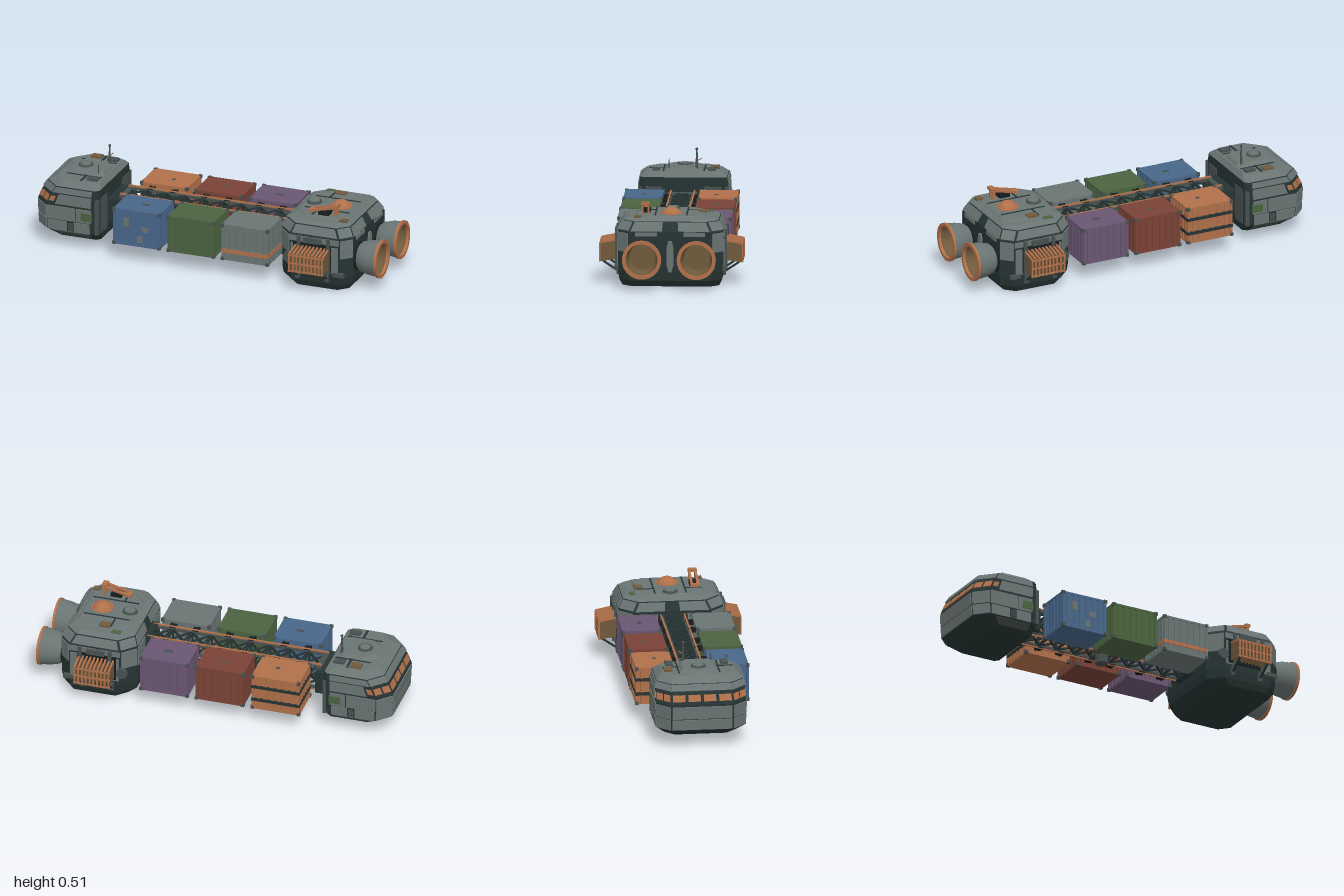
import * as THREE from 'three';

const mat = (name, color, side = THREE.FrontSide) => {
  const m = new THREE.MeshStandardMaterial({ color, side });
  m.name = name;
  return m;
};

export function createModel() {
  const root = new THREE.Group();
  root.name = 'cargoShip';
  const grey = mat('hullGrey', 0x6a7573), dark = mat('darkTeal', 0x263433), copper = mat('copper', 0xb0704a);
  const brown = mat('bronze', 0x6f5a3c, THREE.DoubleSide), steel = mat('steel', 0x485150), black = mat('charcoal', 0x171d1e);
  const blue = mat('blue', 0x48678a), green = mat('green', 0x4a6440), red = mat('red', 0x7a4236), purple = mat('purple', 0x6a5672);

  const group = (name, parent = root) => {
    const g = new THREE.Group();
    g.name = name;
    parent.add(g);
    return g;
  };
  const add = (parent, name, geo, m, x = 0, y = 0, z = 0) => {
    const mesh = new THREE.Mesh(geo, m);
    mesh.name = name;
    mesh.position.set(x, y, z);
    parent.add(mesh);
    return mesh;
  };
  const box = (p, name, m, w, h, d, x, y, z) => add(p, name, new THREE.BoxGeometry(w, h, d), m, x, y, z);
  const cyl = (p, name, m, r0, r1, h, x, y, z, n = 16) => add(p, name, new THREE.CylinderGeometry(r1, r0, h, n), m, x, y, z);
  // Square bar between two points
  const bar = (p, name, m, a, b, t) => {
    const va = new THREE.Vector3(...a), vb = new THREE.Vector3(...b);
    const mesh = box(p, name, m, t, t, va.distanceTo(vb), 0, 0, 0);
    mesh.position.copy(va).add(vb).multiplyScalar(0.5);
    mesh.lookAt(vb);
    return mesh;
  };
  const flat = (pts, index) => {
    const g = new THREE.BufferGeometry();
    g.setAttribute('position', new THREE.Float32BufferAttribute(pts.flatMap(p => p.toArray()), 3));
    g.setIndex(index);
    const out = g.toNonIndexed();
    out.computeVertexNormals();
    return out;
  };
  // Eight-sided section: y, x range, half depth, corner cuts at the -x and +x ends.
  // Sides: 0 = +x, 2 = -z, 4 = -x, 6 = +z, odd = cut corners
  const ring = ([y, x0, x1, h, c, d]) => [[x1, h - d], [x1, d - h], [x1 - d, -h], [x0 + c, -h], [x0, c - h], [x0, h - c], [x0 + c, h], [x1 - d, h]]
    .map(([x, z]) => new THREE.Vector3(x, y, z));
  const loft = (p, name, m, levels) => {
    const pts = levels.flatMap(ring), idx = [], top = (levels.length - 1) * 8;
    for (let i = 0; i < levels.length - 1; i++) for (let k = 0; k < 8; k++) {
      const a = i * 8 + k, b = i * 8 + (k + 1) % 8;
      idx.push(a, b, b + 8, a, b + 8, a + 8);
    }
    for (let k = 1; k < 7; k++) idx.push(0, k + 1, k, top, top + k, top + k + 1);
    return add(p, name, flat(pts, idx), m);
  };
  // Thin plate lying on one side of a loft, in fractions of that side
  const plate = (p, name, m, lo, hi, k, u0, u1, v0, v1, lift = 0.006) => {
    const A = ring(lo), B = ring(hi), j = (k + 1) % 8;
    const at = (u, v) => A[k].clone().lerp(A[j], u).lerp(B[k].clone().lerp(B[j], u), v);
    const base = [at(u0, v0), at(u1, v0), at(u1, v1), at(u0, v1)];
    const n = base[1].clone().sub(base[0]).cross(base[3].clone().sub(base[0])).normalize().multiplyScalar(lift);
    const idx = [4, 5, 6, 4, 6, 7];
    for (let i = 0; i < 4; i++) { const b = (i + 1) % 4; idx.push(i, b, b + 4, i, b + 4, i + 4); }
    return add(p, name, flat([...base, ...base.map(q => q.clone().add(n))], idx), m);
  };
  // Same plate on the +z and -z sides (u runs from -x to +x on both)
  const sides = (p, name, m, lo, hi, u0, u1, v0, v1, lift) => {
    plate(p, name, m, lo, hi, 6, u0, u1, v0, v1, lift);
    plate(p, name, m, lo, hi, 2, 1 - u1, 1 - u0, v0, v1, lift);
  };

  // ---- Crew cabin ----
  const cabin = group('cabin');
  const C = [[0.05, -0.9, -0.63, 0.19, 0.05, 0.02], [0.10, -0.985, -0.62, 0.24, 0.07, 0.02], [0.245, -0.994, -0.62, 0.244, 0.075, 0.02],
    [0.31, -0.965, -0.62, 0.242, 0.075, 0.02], [0.35, -0.94, -0.62, 0.235, 0.075, 0.02], [0.38, -0.89, -0.64, 0.2, 0.07, 0.04]];
  loft(cabin, 'cabinHull', dark, C.slice(0, 5));
  loft(cabin, 'cabinRoof', grey, C.slice(4));
  loft(cabin, 'roofSlab', grey, [[0.38, -0.88, -0.65, 0.1, 0.05, 0.03], [0.397, -0.86, -0.66, 0.085, 0.05, 0.03]]);
  for (const k of [3, 4, 5]) {
    plate(cabin, 'nosePlate', grey, C[1], C[2], k, 0.02, 0.98, 0.45, 0.93);
    plate(cabin, 'noseLowerPlate', grey, C[1], C[2], k, 0.02, 0.98, 0.02, 0.41);
    plate(cabin, 'browPlate', grey, C[3], C[4], k, 0, 1, 0.1, 0.9);
    const n = k === 4 ? 4 : 2;
    for (let i = 0; i < n; i++) plate(cabin, 'window', copper, C[2], C[3], k, (i + 0.1) / n, (i + 0.9) / n, 0.25, 0.78, 0.004);
  }
  sides(cabin, 'sideWindow', copper, C[2], C[3], 0.02, 0.13, 0.3, 0.75, 0.004);
  sides(cabin, 'upperSidePlate', grey, C[2], C[3], 0.18, 0.93, 0.08, 0.95);
  sides(cabin, 'roofEdgePlate', grey, C[3], C[4], 0.02, 0.93, 0.1, 0.85);
  sides(cabin, 'sidePlate', grey, C[1], C[2], 0, 0.6, 0.42, 0.95);
  sides(cabin, 'sidePlate', grey, C[1], C[2], 0.62, 0.93, 0.42, 0.95);
  sides(cabin, 'sideLowerPlate', grey, C[1], C[2], 0.02, 0.42, 0, 0.38);
  sides(cabin, 'sideLowerPlate', grey, C[1], C[2], 0.58, 0.9, 0, 0.38);
  sides(cabin, 'greenPatch', green, C[1], C[2], 0.72, 0.95, 0.5, 0.82, 0.008);
  for (let i = 0; i < 4; i++) sides(cabin, 'vent', steel, C[1], C[2], 0.45, 0.56, i * 0.09, i * 0.09 + 0.05);
  sides(cabin, 'bellyPlate', steel, C[0], C[1], 0.1, 0.9, 0.3, 0.9, 0.004);
  for (const s of [1, -1]) {
    box(cabin, 'rearRib', steel, 0.02, 0.2, 0.02, -0.627, 0.2, s * 0.236);
    box(cabin, 'rearPanel', steel, 0.01, 0.2, 0.09, -0.62, 0.2, s * 0.16);
    box(cabin, 'roofSeam', dark, 0.012, 0.004, 0.09, -0.74, 0.381, s * 0.147);
    box(cabin, 'roofSeam', dark, 0.2, 0.004, 0.008, -0.75, 0.381, s * 0.11);
    box(cabin, 'roofBlock', steel, 0.06, 0.012, 0.04, -0.685, 0.385, s * 0.15);
  }
  box(cabin, 'roofHatch', brown, 0.06, 0.012, 0.045, -0.785, 0.384, -0.165);
  cyl(cabin, 'hatchRing', steel, 0.042, 0.038, 0.008, -0.785, 0.4, 0, 20);
  cyl(cabin, 'hatchLid', grey, 0.028, 0.028, 0.01, -0.785, 0.402, 0, 20);
  cyl(cabin, 'mast', steel, 0.008, 0.004, 0.11, -0.675, 0.445, -0.07, 8);
  add(cabin, 'mastTip', new THREE.SphereGeometry(0.008, 10, 8), steel, -0.675, 0.498, -0.07);
  bar(cabin, 'mastArm', copper, [-0.675, 0.435, -0.075], [-0.665, 0.448, -0.098], 0.004);
  cyl(cabin, 'whipAerial', steel, 0.004, 0.002, 0.06, -0.68, 0.412, 0.08, 6);

  // ---- Truss spine ----
  const truss = group('truss');
  box(truss, 'cabinDock', dark, 0.09, 0.13, 0.23, -0.58, 0.2, 0);
  box(truss, 'cabinDockCollar', steel, 0.03, 0.15, 0.16, -0.545, 0.205, 0);
  box(truss, 'engineDock', dark, 0.05, 0.17, 0.16, 0.43, 0.205, 0);
  const yb = 0.135, yt = 0.275, zt = 0.058, bays = 9, x0 = -0.56, dx = 0.99 / bays;
  for (const s of [1, -1]) {
    for (const y of [yb, yt]) box(truss, 'longeron', steel, 0.99, 0.014, 0.014, -0.065, y, s * zt);
    box(truss, 'upperPipe', copper, 0.99, 0.009, 0.009, -0.065, yt + 0.011, s * (zt + 0.006));
    box(truss, 'lowerPipe', copper, 0.99, 0.008, 0.008, -0.065, yb - 0.01, s * (zt + 0.006));
  }
  for (let i = 0; i < bays; i++) {
    const a = x0 + i * dx, b = a + dx;
    for (const s of [1, -1]) {
      bar(truss, 'sideBrace', dark, [a, yb, s * zt], [b, yt, s * zt], 0.009);
      bar(truss, 'sideBrace', dark, [a, yt, s * zt], [b, yb, s * zt], 0.009);
      box(truss, 'post', dark, 0.01, yt - yb, 0.01, b, (yb + yt) / 2, s * zt);
    }
    for (const y of [yb, yt]) {
      bar(truss, 'crossBrace', dark, [a, y, -zt], [b, y, zt], 0.009);
      bar(truss, 'crossBrace', dark, [a, y, zt], [b, y, -zt], 0.009);
      box(truss, 'crossTie', dark, 0.01, 0.01, zt * 2, b, y, 0);
    }
  }
  cyl(truss, 'bellyTank', steel, 0.035, 0.042, 0.12, -0.09, 0.145, 0);

  // ---- Cargo containers ----
  const container = (name, m, x, s) => {
    const g = group(name);
    g.position.set(x, 0.2, s * 0.202);
    box(g, 'body', m, 0.258, 0.19, 0.198, 0, 0, 0);
    for (const y of [-0.097, 0.097]) box(g, 'endSlab', m, 0.27, 0.012, 0.21, 0, y, 0);
    for (const t of [1, -1]) {
      for (let i = 0; i < 6; i++) box(g, 'sideRib', m, 0.02, 0.184, 0.006, -0.0975 + i * 0.039, 0, t * 0.1015);
      for (let i = 0; i < 5; i++) box(g, 'endRib', m, 0.006, 0.184, 0.018, t * 0.131, 0, -0.072 + i * 0.036);
      for (const u of [1, -1]) {
        box(g, 'cornerPost', m, 0.014, 0.19, 0.014, t * 0.128, 0, u * 0.099);
        for (const y of [-0.096, 0.096]) box(g, 'cornerLug', steel, 0.018, 0.018, 0.018, t * 0.13, y, u * 0.1);
      }
      // Clamps onto the truss
      for (const y of [-0.065, 0.075]) box(g, 'clamp', black, 0.035, 0.022, 0.05, t * 0.065, y, -s * 0.12);
    }
    return g;
  };
  const band = (g, m, y, h) => box(g, 'band', m, 0.272, h, 0.213, 0, y, 0);
  const X = [-0.37, -0.055, 0.26];
  const cBlue = container('blueContainer', blue, X[0], 1);
  container('greenContainer', green, X[1], 1);
  const cGrey = container('greyContainer', grey, X[2], 1);
  const cCopper = container('copperContainer', copper, X[0], -1);
  const cRed = container('redContainer', red, X[1], -1);
  const cPurple = container('purpleContainer', purple, X[2], -1);
  band(cGrey, copper, -0.05, 0.022);
  band(cCopper, dark, 0.035, 0.018);
  band(cCopper, dark, -0.045, 0.018);
  for (const [x, y, w, h] of [[-0.06, 0.03, 0.03, 0.05], [0.05, 0.0, 0.04, 0.03], [0.02, -0.06, 0.03, 0.04]])
    box(cBlue, 'wornPatch', grey, w, h, 0.004, x, y, 0.104);
  box(cBlue, 'topPatch', steel, 0.04, 0.003, 0.02, 0.015, 0.103, 0);
  box(cCopper, 'topPatch', steel, 0.02, 0.003, 0.02, 0.02, 0.103, 0.01);
  box(cRed, 'topPatch', steel, 0.03, 0.003, 0.015, 0, 0.103, -0.01);
  box(cPurple, 'topPatch', steel, 0.045, 0.003, 0.025, 0.005, 0.103, 0);

  // ---- Engine block ----
  const engine = group('engineBlock');
  const E = [[0, 0.49, 0.83, 0.262, 0.06, 0.05], [0.035, 0.445, 0.855, 0.278, 0.075, 0.06], [0.08, 0.44, 0.86, 0.285, 0.075, 0.06],
    [0.30, 0.44, 0.86, 0.285, 0.075, 0.06], [0.355, 0.46, 0.83, 0.258, 0.075, 0.06], [0.37, 0.49, 0.81, 0.225, 0.07, 0.06]];
  loft(engine, 'engineHull', dark, E.slice(0, 5));
  loft(engine, 'engineRoof', grey, E.slice(4));
  loft(engine, 'roofSlab', grey, [[0.37, 0.5, 0.8, 0.19, 0.06, 0.05], [0.38, 0.51, 0.79, 0.18, 0.06, 0.05]]);
  sides(engine, 'shoulderPlate', grey, E[3], E[4], 0.03, 0.97, 0.1, 0.9);
  sides(engine, 'upperPlate', grey, E[2], E[3], 0, 0.42, 0.84, 0.98);
  sides(engine, 'upperPlate', grey, E[2], E[3], 0.46, 1, 0.84, 0.98);
  sides(engine, 'foreSidePlate', grey, E[2], E[3], 0.02, 0.2, 0.15, 0.78);
  sides(engine, 'aftSidePlate', grey, E[2], E[3], 0.84, 0.98, 0.1, 0.78);
  for (const k of [1, 3, 5, 7]) {
    plate(engine, 'cornerPlate', grey, E[2], E[3], k, 0.05, 0.95, 0.5, 0.97);
    plate(engine, 'cornerShoulder', grey, E[3], E[4], k, 0.05, 0.95, 0.1, 0.9);
  }
  for (const [a, b] of [[0.02, 0.4], [0.6, 0.98]]) {
    plate(engine, 'rearShoulder', grey, E[3], E[4], 0, a, b, 0.05, 0.9);
    plate(engine, 'rearBrow', grey, E[2], E[3], 0, a + 0.06, b - 0.06, 0.9, 1);
    plate(engine, 'foreShoulder', grey, E[3], E[4], 4, a, b, 0.05, 0.9);
    plate(engine, 'forePlate', grey, E[2], E[3], 4, a, b - 0.02, 0.45, 0.95);
  }
  // Tall fin plate between the nozzles
  const fin = new THREE.Shape([[-0.008, 0.083], [0.008, 0.083], [0.018, 0.12], [0.018, 0.22], [0.01, 0.253], [-0.01, 0.253], [-0.018, 0.22], [-0.018, 0.12]]
    .map(p => new THREE.Vector2(...p)));
  add(engine, 'rearFinPlate', new THREE.ExtrudeGeometry(fin, { depth: 0.014, bevelEnabled: false }), grey, 0.858, 0, 0).rotation.y = Math.PI / 2;

  // Roof fittings
  add(engine, 'dome', new THREE.SphereGeometry(0.058, 24, 10, 0, Math.PI * 2, 0, Math.PI / 2), copper, 0.7, 0.358, 0);
  cyl(engine, 'domeCollar', copper, 0.064, 0.06, 0.02, 0.7, 0.374, 0, 24);
  cyl(engine, 'roofPort', steel, 0.042, 0.038, 0.012, 0.545, 0.384, 0, 20);
  cyl(engine, 'roofPortLid', grey, 0.03, 0.03, 0.014, 0.545, 0.386, 0, 20);
  box(engine, 'roofHatch', brown, 0.06, 0.01, 0.045, 0.635, 0.382, -0.165);
  box(engine, 'roofHatch', brown, 0.04, 0.01, 0.035, 0.785, 0.374, 0.18);
  box(engine, 'greenPatch', green, 0.05, 0.006, 0.03, 0.56, 0.371, -0.205);
  for (const s of [1, -1]) {
    box(engine, 'roofSeam', dark, 0.26, 0.004, 0.008, 0.65, 0.381, s * 0.085);
    box(engine, 'roofSeam', dark, 0.008, 0.004, 0.09, 0.6, 0.381, s * 0.13);
  }
  // Folded crane arm
  box(engine, 'craneBase', black, 0.06, 0.025, 0.05, 0.66, 0.388, 0.14);
  for (const s of [1, -1]) {
    bar(engine, 'craneRail', copper, [0.58, 0.395, 0.14 + s * 0.017], [0.74, 0.435, 0.14 + s * 0.017], 0.013);
    box(engine, 'craneLeg', copper, 0.014, 0.05, 0.012, 0.725, 0.405, 0.14 + s * 0.017);
  }
  box(engine, 'craneHead', copper, 0.03, 0.014, 0.048, 0.728, 0.438, 0.14);
  box(engine, 'craneFoot', copper, 0.03, 0.014, 0.048, 0.59, 0.397, 0.14);

  // ---- Side radiators and side fittings ----
  for (const s of [1, -1]) {
    const r = group('radiator', engine);
    const shape = new THREE.Shape([[0.28, 0.135], [0.385, 0.12], [0.385, 0.22], [0.28, 0.242]].map(([z, y]) => new THREE.Vector2(-s * z, y)));
    for (let i = 0; i < 10; i++) {
      const x = 0.55 + i * 0.0213;
      add(r, 'fin', new THREE.ExtrudeGeometry(shape, { depth: 0.006, bevelEnabled: false }), brown, x - 0.003, 0, 0).rotation.y = Math.PI / 2;
      box(r, 'finEdge', copper, 0.009, 0.102, 0.006, x, 0.17, s * 0.386);
      bar(r, 'finTop', copper, [x, 0.242, s * 0.285], [x, 0.222, s * 0.386], 0.009);
    }
    for (const y of [0.125, 0.17, 0.216]) box(r, 'rail', copper, 0.205, 0.008, 0.007, 0.645, y, s * 0.385);
    for (const x of [0.56, 0.73]) {
      bar(r, 'strut', dark, [x, 0.122, s * 0.37], [x, 0.065, s * 0.285], 0.01);
      box(r, 'strutMount', steel, 0.022, 0.05, 0.012, x, 0.075, s * 0.289);
    }
    box(engine, 'radiatorBacking', black, 0.22, 0.14, 0.01, 0.645, 0.19, s * 0.287);
    for (const x of [0.57, 0.74]) box(engine, 'sideRail', steel, 0.018, 0.2, 0.016, x, 0.2, s * 0.295);
    box(engine, 'sideLocker', steel, 0.1, 0.03, 0.02, 0.65, 0.28, s * 0.296);
    box(engine, 'lowerLocker', steel, 0.06, 0.022, 0.022, 0.8, 0.1, s * 0.292);
    cyl(engine, 'porthole', steel, 0.032, 0.03, 0.016, 0.505, 0.165, s * 0.288, 20).rotation.x = s * Math.PI / 2;
  }

  // ---- Nozzles ----
  for (const s of [1, -1]) {
    const n = group('nozzle', engine);
    n.position.set(0, 0.17, s * 0.148);
    n.rotation.z = -Math.PI / 2;
    const lathe = (name, m, pts) => add(n, name, new THREE.LatheGeometry(pts.map(p => new THREE.Vector2(...p)), 32), m);
    lathe('bell', grey, [[0.06, 0.85], [0.066, 0.866], [0.083, 0.885], [0.095, 0.93], [0.102, 0.99]]);
    lathe('rim', copper, [[0.1, 0.985], [0.106, 0.986]]);
    lathe('rim', copper, [[0.106, 0.986], [0.106, 1]]);
    lathe('rim', copper, [[0.106, 1], [0.087, 1]]);
    lathe('rim', copper, [[0.087, 1], [0.086, 0.985]]);
    lathe('throat', brown, [[0.087, 0.99], [0.078, 0.93], [0.07, 0.885]]);
    cyl(n, 'burner', brown, 0.071, 0.071, 0.01, 0, 0.882, 0, 32);
    cyl(n, 'nozzleCollar', black, 0.08, 0.075, 0.014, 0, 0.863, 0, 24);
  }
  return root;
}
